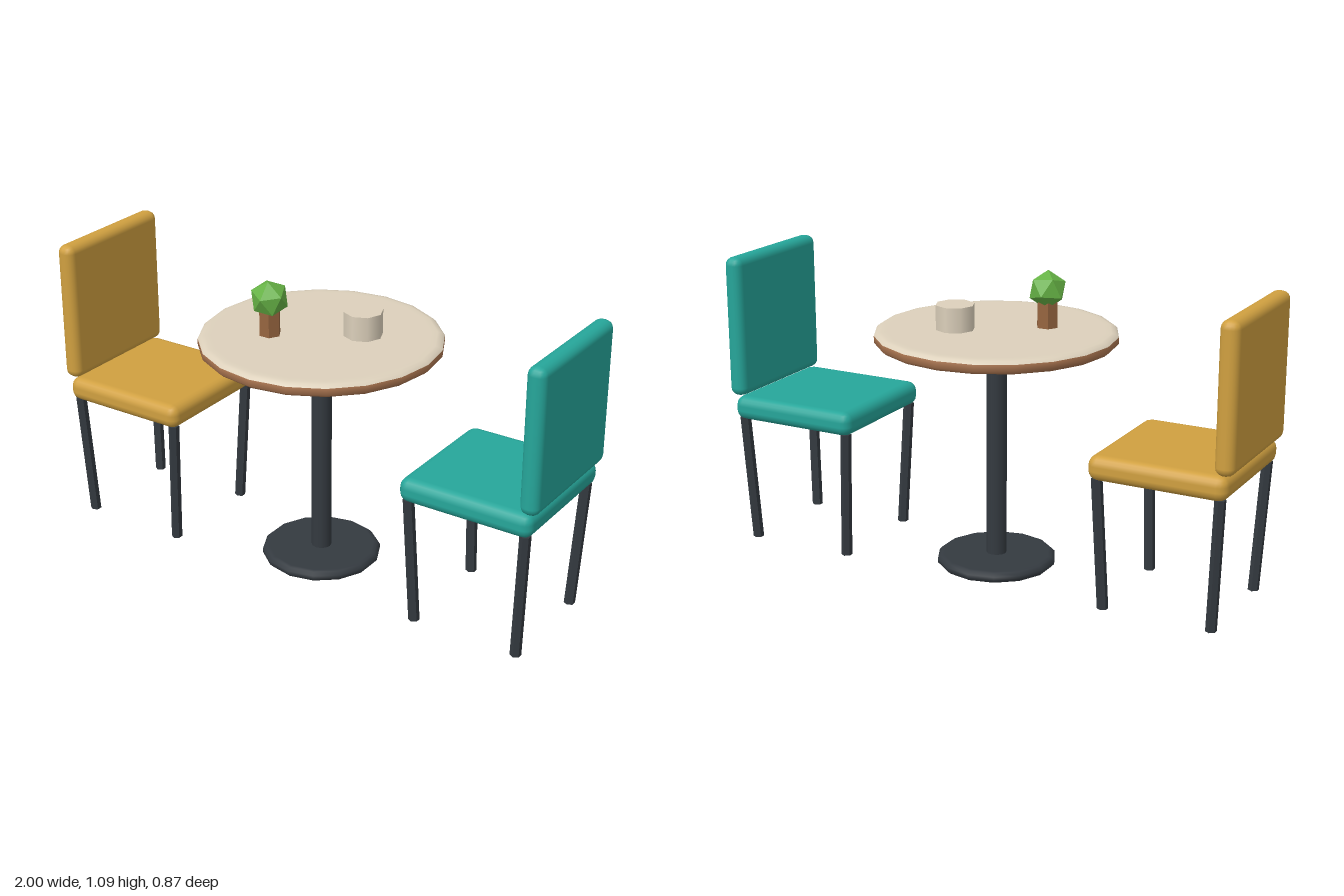
import * as THREE from 'three';
import { RoundedBoxGeometry } from 'three/addons/geometries/RoundedBoxGeometry.js';

const material = (name, color, flatShading = false) => {
  const m = new THREE.MeshStandardMaterial({ color, flatShading });
  m.name = name;
  return m;
};

function addMesh(parent, name, geometry, mat, x = 0, y = 0, z = 0) {
  const mesh = new THREE.Mesh(geometry, mat);
  mesh.name = name;
  mesh.position.set(x, y, z);
  parent.add(mesh);
  return mesh;
}

// Turned part from [radius, height] pairs listed bottom to top
const turned = (points, sides) =>
  new THREE.LatheGeometry(points.map(([r, y]) => new THREE.Vector2(r, y)), sides);

// Six-sided leg, leaning so its foot is offset by (dx, dz) from its top
function leaningLeg(height, dx, dz) {
  const geometry = new THREE.CylinderGeometry(0.02, 0.02, height, 6);
  const p = geometry.attributes.position;
  for (let i = 0; i < p.count; i++) {
    const t = 0.5 - p.getY(i) / height;
    p.setX(i, p.getX(i) + dx * t);
    p.setZ(i, p.getZ(i) + dz * t);
  }
  geometry.computeVertexNormals();
  return geometry;
}

// Chair on the +x side, facing the table
function createChair(name, fabric, metal) {
  const chair = new THREE.Group();
  chair.name = name;
  addMesh(chair, 'seat', new RoundedBoxGeometry(0.505, 0.09, 0.51, 2, 0.036), fabric, 0.727, 0.52, 0);
  addMesh(chair, 'backrest', new RoundedBoxGeometry(0.07, 0.525, 0.51, 2, 0.03), fabric, 0.965, 0.828, 0);
  for (const sx of [-1, 1]) {
    for (const sz of [-1, 1]) {
      addMesh(chair, 'chairLeg', leaningLeg(0.48, -0.022 * sx, -0.02 * sz), metal,
        0.727 + 0.223 * sx, 0.24, 0.222 * sz);
    }
  }
  return chair;
}

export function createModel() {
  const teal = material('teal fabric', 0x26a69a);
  const gold = material('gold fabric', 0xd0a040);
  const metal = material('dark metal', 0x343a40);
  const legMetal = material('dark leg metal', 0x343a40, true);
  const wood = material('brown wood', 0xa9744f);
  const cream = material('cream top', 0xdcd0bb);
  const bark = material('bark', 0x96653f, true);
  const leaf = material('leaf green', 0x66b245, true);

  const model = new THREE.Group();
  model.name = 'cafeTableSet';

  // Table
  const table = new THREE.Group();
  table.name = 'table';
  model.add(table);
  addMesh(table, 'base', turned([
    [0, 0], [0.195, 0], [0.208, 0.002], [0.219, 0.013], [0.219, 0.027], [0.208, 0.038], [0.195, 0.04], [0, 0.04],
  ], 14), metal);
  addMesh(table, 'pedestal', new THREE.CylinderGeometry(0.037, 0.037, 0.81, 12), metal, 0, 0.435, 0);
  addMesh(table, 'tabletopWood', turned([
    [0, 0.84], [0.405, 0.84], [0.422, 0.841], [0.436, 0.853], [0.436, 0.876], [0.43, 0.88],
  ], 20), wood);
  addMesh(table, 'tabletopSurface', turned([
    [0.436, 0.877], [0.425, 0.887], [0.41, 0.89], [0.39, 0.89], [0, 0.89],
  ], 20), cream);

  // Cup and small tree on the tabletop
  addMesh(model, 'cup', new THREE.CylinderGeometry(0.071, 0.071, 0.092, 8), cream, 0.126, 0.934, -0.075);
  const tree = new THREE.Group();
  tree.name = 'pottedTree';
  tree.position.set(-0.148, 0, 0.105);
  model.add(tree);
  addMesh(tree, 'trunk', new THREE.CylinderGeometry(0.04, 0.04, 0.1, 6, 1, false, Math.PI / 6), bark, 0, 0.937, 0);
  const foliage = addMesh(tree, 'foliage', new THREE.IcosahedronGeometry(0.07, 0), leaf, 0, 1.025, 0);
  foliage.rotation.set(0.3, 0.4, 0.45);

  // Facing chairs
  model.add(createChair('leftChair', teal, legMetal));
  const rightChair = createChair('rightChair', gold, legMetal);
  rightChair.rotation.y = Math.PI;
  model.add(rightChair);

  return model;
}
